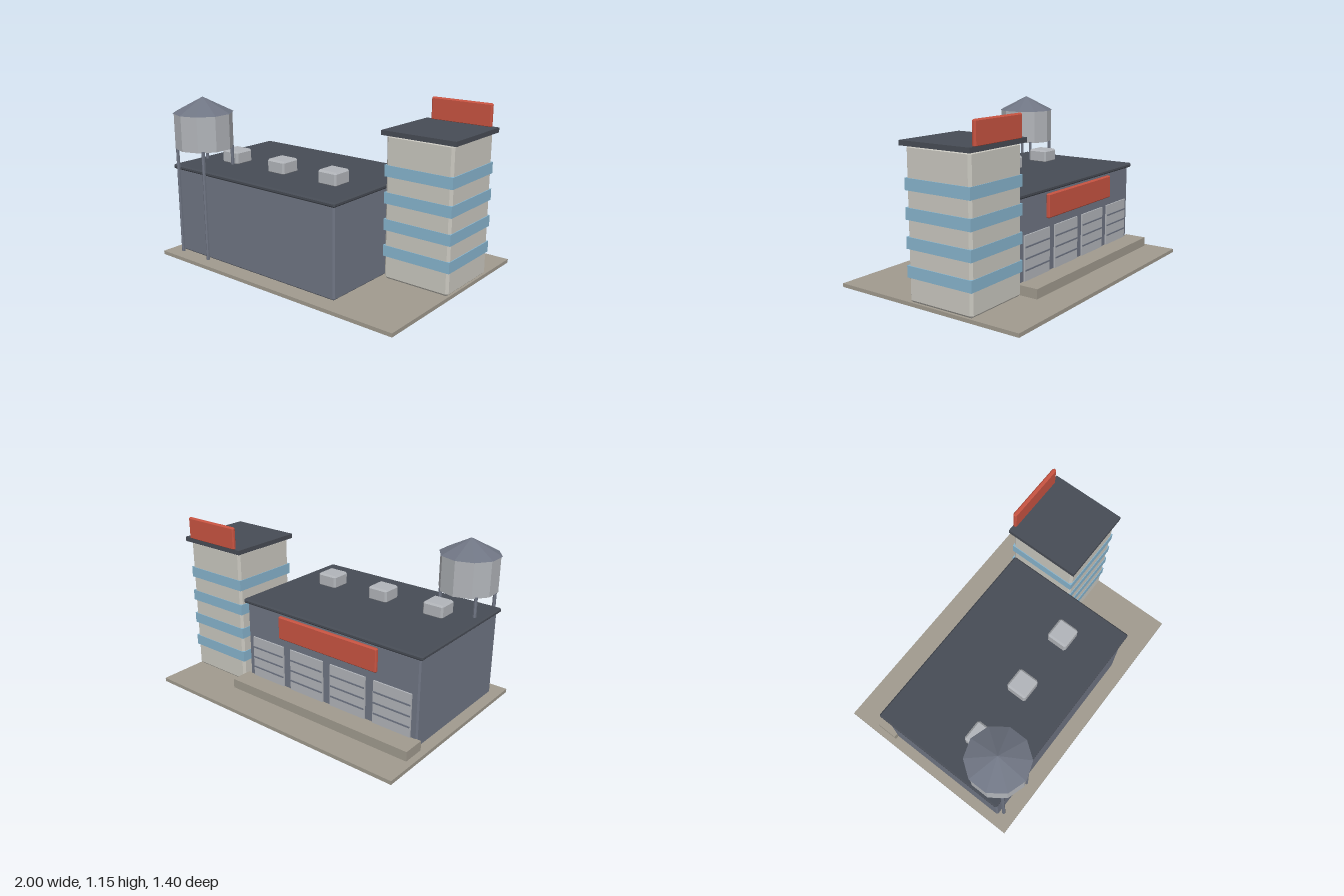
import * as THREE from 'three';
import { ConvexGeometry } from 'three/addons/geometries/ConvexGeometry.js';

const mat = (name, color) => {
  const m = new THREE.MeshStandardMaterial({ color });
  m.name = name;
  return m;
};

// Box with chamfered edges, centred on the origin
function chamferBox(w, h, d, c) {
  const pts = [];
  for (const x of [-w / 2, w / 2])
    for (const y of [-h / 2, h / 2])
      for (const z of [-d / 2, d / 2]) {
        const ix = x - Math.sign(x) * c, iy = y - Math.sign(y) * c, iz = z - Math.sign(z) * c;
        pts.push(new THREE.Vector3(x, iy, iz), new THREE.Vector3(ix, y, iz), new THREE.Vector3(ix, iy, z));
      }
  return new ConvexGeometry(pts);
}

// Cylinder or cone with flat facets
function facetedCylinder(rTop, rBottom, h, sides) {
  const g = new THREE.CylinderGeometry(rTop, rBottom, h, sides).toNonIndexed();
  g.computeVertexNormals();
  return g;
}

export function createModel() {
  const concrete = mat('concrete', 0xa09a8e);
  const slate = mat('slateWall', 0x6f7583);
  const roofing = mat('darkRoofing', 0x474c55);
  const cream = mat('creamWall', 0xc9c7bf);
  const glass = mat('blueGlass', 0x87b4cd);
  const red = mat('signRed', 0xc75341);
  const metal = mat('lightMetal', 0xb1b4b9);

  const model = new THREE.Group();
  model.name = 'warehouse';

  const add = (name, geometry, material, x, y, z, parent = model) => {
    const mesh = new THREE.Mesh(geometry, material);
    mesh.name = name;
    mesh.position.set(x, y, z);
    parent.add(mesh);
    return mesh;
  };
  // Box given by its limits on each axis, with an optional chamfer
  const block = (name, material, [x0, x1], [y0, y1], [z0, z1], chamfer = 0, parent = model) => {
    const s = [x1 - x0, y1 - y0, z1 - z0];
    const g = chamfer ? chamferBox(...s, chamfer) : new THREE.BoxGeometry(...s);
    return add(name, g, material, (x0 + x1) / 2, (y0 + y1) / 2, (z0 + z1) / 2, parent);
  };
  const group = (name) => {
    const g = new THREE.Group();
    g.name = name;
    model.add(g);
    return g;
  };

  // Ground slab and loading dock
  block('groundSlab', concrete, [-1, 0.975], [0, 0.025], [-0.7, 0.7]);
  block('loadingDock', concrete, [-0.957, 0.49], [0.025, 0.09], [-0.485, -0.33]);

  // Main hall
  const hall = group('hall');
  block('hallWalls', slate, [-0.93, 0.47], [0.025, 0.63], [-0.335, 0.587], 0.01, hall);
  block('hallRoof', roofing, [-0.953, 0.49], [0.622, 0.653], [-0.355, 0.607], 0.009, hall);
  for (const x of [-0.672, -0.235, 0.205])
    block('roofVent', metal, [x - 0.075, x + 0.075], [0.645, 0.74], [0.19, 0.337], 0.012, hall);

  // Roll-up doors with dark ribs, on the back wall
  for (let i = 0; i < 4; i++) {
    const x = 0.282 - i * 0.342;
    block('rollDoor', metal, [x - 0.14, x + 0.14], [0.085, 0.385], [-0.345, -0.33], 0, hall);
    for (let j = 1; j < 4; j++) {
      const y = 0.085 + j * 0.075;
      block('doorRib', slate, [x - 0.135, x + 0.135], [y - 0.005, y + 0.005], [-0.35, -0.344], 0, hall);
    }
  }
  block('hallSign', red, [-0.63, 0.17], [0.445, 0.605], [-0.358, -0.33], 0.007, hall);

  // Office tower
  const tower = group('tower');
  block('towerWalls', cream, [0.497, 0.973], [0.025, 0.978], [-0.373, 0.11], 0.016, tower);
  for (let i = 0; i < 4; i++) {
    const y = 0.218 + i * 0.1765;
    block('windowBand', glass, [0.492, 0.979], [y - 0.037, y + 0.037], [-0.377, 0.114], 0, tower);
  }
  block('towerRoof', roofing, [0.473, 1], [0.974, 1.005], [-0.395, 0.13], 0, tower);
  block('roofSign', red, [0.517, 0.955], [1.0, 1.152], [-0.398, -0.37], 0.008, tower);

  // Water tank on four legs
  const tank = group('waterTank');
  tank.position.set(-0.76, 0, 0.481);
  add('tankBody', facetedCylinder(0.197, 0.197, 0.243, 10), metal, 0, 0.9025, 0, tank);
  add('tankRoof', facetedCylinder(0, 0.205, 0.106, 10), slate, 0, 1.076, 0, tank);
  for (const x of [-0.131, 0.131])
    for (const z of [-0.131, 0.131])
      add('tankLeg', facetedCylinder(0.012, 0.012, 0.765, 6), slate, x, 0.4075, z, tank);

  return model;
}
